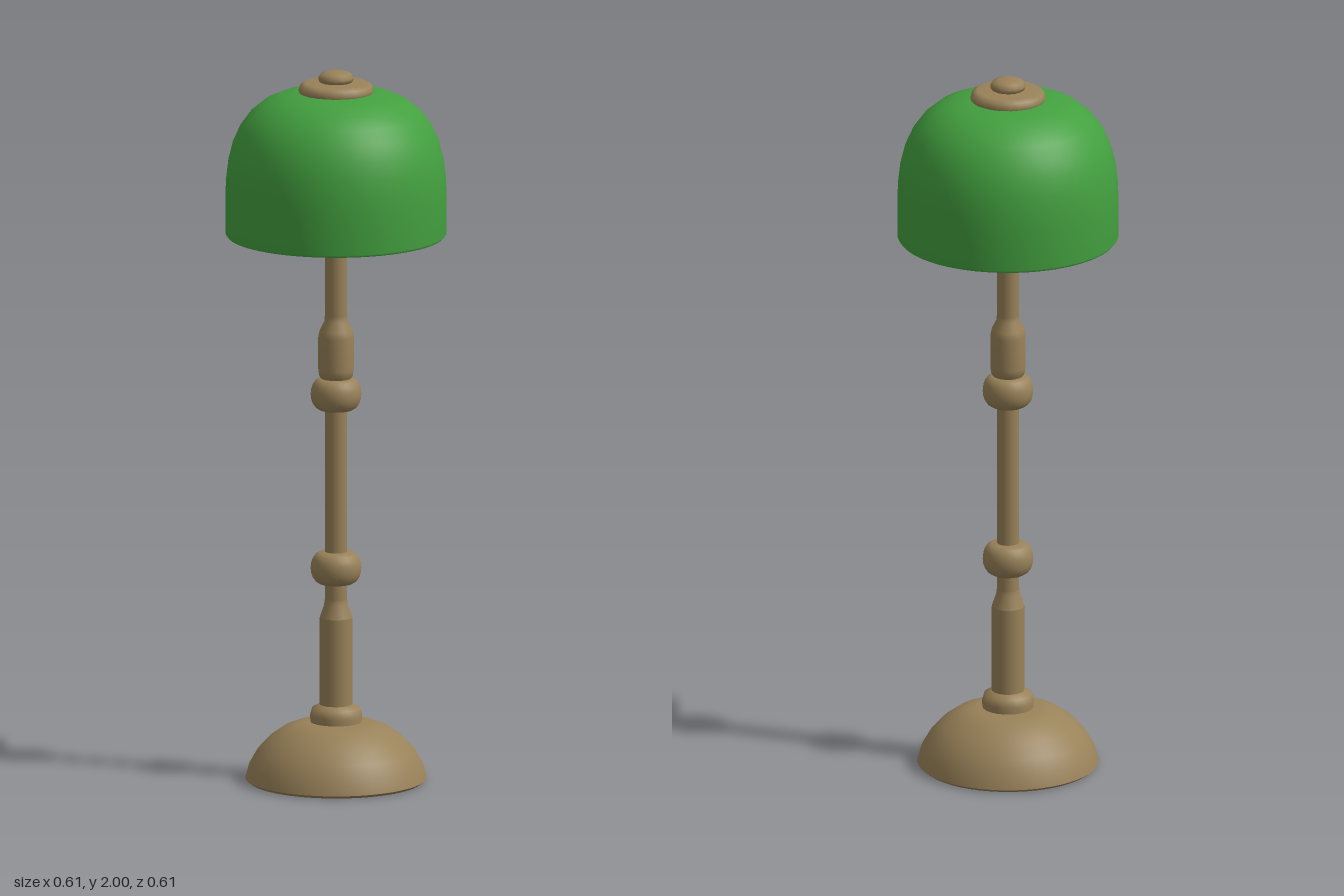
import * as THREE from 'three';

const brass = new THREE.MeshStandardMaterial({ color: 0x998259 });
brass.name = 'antique brass';
const green = new THREE.MeshStandardMaterial({ color: 0x43a03f });
green.name = 'green glass';

// Revolve a profile of [radius, height] points; a repeated point keeps a crisp edge
function turned(name, profile, material, sides = 24) {
  const points = profile.map(([r, y]) => new THREE.Vector2(r, y));
  const mesh = new THREE.Mesh(new THREE.LatheGeometry(points, sides), material);
  mesh.name = name;
  return mesh;
}

// Rounded ring around the stem
function collar(name, y, radius, half) {
  const profile = [];
  for (let i = 0; i <= 10; i++) {
    const a = -Math.PI / 2 + (Math.PI * i) / 10;
    profile.push([0.028 + (radius - 0.028) * Math.pow(Math.cos(a) + 1e-6, 0.7), y + half * Math.sin(a)]);
  }
  return turned(name, profile, brass);
}

export function createModel() {
  const lamp = new THREE.Group();
  lamp.name = 'lamp';

  // Hollow domed foot
  lamp.add(turned('base', [
    [0, 0.15], [0.07, 0.147], [0.13, 0.13], [0.18, 0.095], [0.215, 0.05], [0.235, 0.005], [0.235, 0.005],
    [0.24, 0], [0.25, 0.008], [0.25, 0.008], [0.24, 0.045], [0.217, 0.085], [0.185, 0.12],
    [0.147, 0.147], [0.115, 0.16], [0.085, 0.166], [0, 0.168],
  ], brass, 48));

  // Foot collar, lower sleeve, slim stem and upper sleeve
  lamp.add(turned('stem', [
    [0.07, 0.16], [0.072, 0.185], [0.066, 0.205], [0.045, 0.215], [0.045, 0.215],
    [0.045, 0.46], [0.045, 0.46], [0.033, 0.495], [0.031, 0.51], [0.031, 0.51],
    [0.031, 1.12], [0.031, 1.12], [0.046, 1.14], [0.049, 1.16], [0.049, 1.25], [0.045, 1.27],
    [0.032, 1.295], [0.031, 1.31], [0.031, 1.31], [0.031, 1.95],
  ], brass));
  lamp.add(collar('lowerCollar', 0.6, 0.07, 0.046));
  lamp.add(collar('upperCollar', 1.09, 0.07, 0.046));

  // Hub that carries the shade
  lamp.add(turned('hub', [
    [0.028, 1.49], [0.05, 1.492], [0.064, 1.505], [0.067, 1.52], [0.067, 1.565],
    [0.058, 1.58], [0.028, 1.583],
  ], brass));

  // Hollow shade with a thick rim
  lamp.add(turned('shade', [
    [0.03, 1.915], [0.12, 1.905], [0.18, 1.88], [0.22, 1.835], [0.24, 1.77], [0.247, 1.7],
    [0.25, 1.55], [0.25, 1.55], [0.255, 1.54], [0.255, 1.54], [0.3, 1.538], [0.3, 1.538],
    [0.305, 1.545], [0.305, 1.65], [0.303, 1.7], [0.297, 1.75], [0.285, 1.798], [0.265, 1.843],
    [0.238, 1.88], [0.2, 1.912], [0.155, 1.932], [0.1, 1.941], [0.03, 1.943],
  ], green, 64));

  // Thin spokes from the hub to the rim
  const spokes = new THREE.Group();
  spokes.name = 'spokes';
  const rod = new THREE.CylinderGeometry(0.004, 0.004, 0.2, 6);
  rod.rotateZ(Math.PI / 2).translate(0.155, 1.56, 0);
  for (let i = 0; i < 12; i++) {
    const spoke = new THREE.Mesh(rod, green);
    spoke.name = 'spoke';
    spoke.rotation.y = (i * Math.PI) / 6;
    spokes.add(spoke);
  }
  lamp.add(spokes);

  // Cap plate and finial on top
  lamp.add(turned('cap', [
    [0.03, 1.932], [0.1, 1.934], [0.104, 1.946], [0.099, 1.96], [0.085, 1.968], [0, 1.97],
  ], brass));
  lamp.add(turned('finial', [
    [0.036, 1.965], [0.047, 1.972], [0.049, 1.982], [0.042, 1.993], [0.025, 1.999], [0, 2],
  ], brass, 16));

  return lamp;
}
